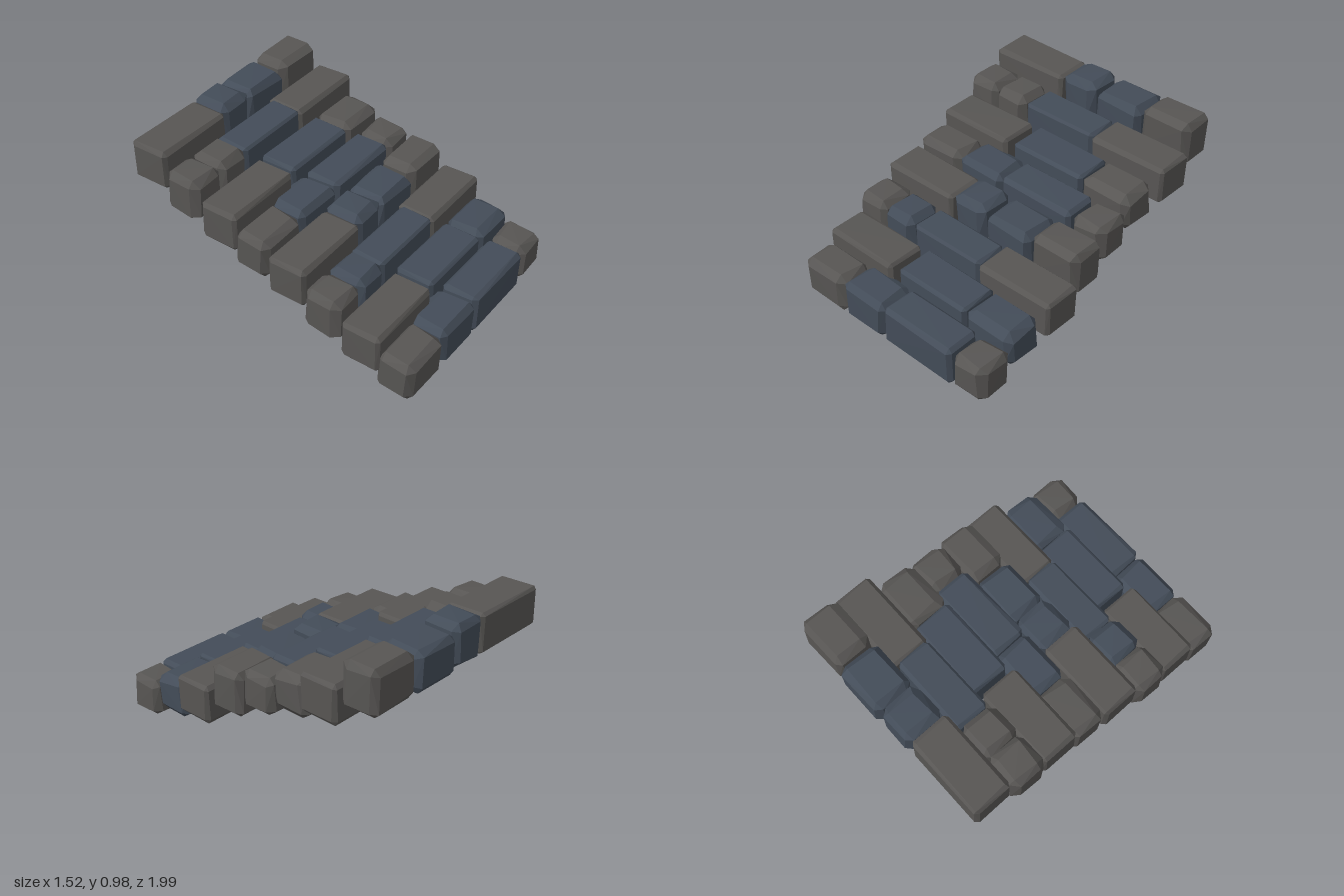
import * as THREE from 'three';
import { ConvexGeometry } from 'three/addons/geometries/ConvexGeometry.js';

const grey = new THREE.MeshStandardMaterial({ color: 0x575553, flatShading: true });
const slate = new THREE.MeshStandardMaterial({ color: 0x434c58, flatShading: true });

// One flight of four courses; each stone: [x0, x1, y0, y1, z0, z1, bevel, colour in lower flight, in upper flight]
const COURSES = [
  [
    [-0.74, -0.395, 0.00, 0.265, 0.755, 0.995, 0.04, grey, grey],
    [-0.40, -0.055, 0.01, 0.268, 0.735, 0.99, 0.04, slate, slate],
    [-0.06, 0.475, 0.01, 0.27, 0.745, 0.985, 0.025, slate, slate],
    [0.475, 0.725, 0.018, 0.272, 0.74, 0.985, 0.045, grey, grey],
  ],
  [
    [-0.735, -0.20, 0.105, 0.358, 0.515, 0.775, 0.022, grey, grey],
    [-0.17, 0.365, 0.105, 0.348, 0.495, 0.75, 0.022, slate, slate],
    [0.36, 0.71, 0.105, 0.355, 0.49, 0.755, 0.045, slate, grey],
  ],
  [
    [-0.765, -0.525, 0.205, 0.485, 0.27, 0.52, 0.042, grey, grey],
    [-0.53, -0.29, 0.21, 0.485, 0.27, 0.52, 0.042, slate, grey],
    [-0.295, 0.235, 0.205, 0.456, 0.265, 0.495, 0.022, slate, slate],
    [0.225, 0.76, 0.20, 0.445, 0.235, 0.495, 0.022, grey, grey],
  ],
  [
    [-0.74, -0.20, 0.325, 0.578, 0.015, 0.275, 0.022, grey, grey],
    [-0.205, 0.045, 0.32, 0.60, 0.00, 0.26, 0.042, slate, slate],
    [0.045, 0.39, 0.32, 0.575, -0.015, 0.25, 0.04, slate, slate],
    [0.385, 0.735, 0.315, 0.603, -0.01, 0.24, 0.042, grey, grey],
  ],
];

function seededRandom(seed) {
  let s = seed * 7919 + 17;
  return () => (s = (s * 16807) % 2147483647) / 2147483647;
}

// Chamfered block: each face is an inset, slightly irregular quad, joined by the hull
function stoneGeometry(size, bevel, seed) {
  const random = seededRandom(seed);
  random();
  const half = size.map((d) => d / 2);
  const points = [];
  for (let axis = 0; axis < 3; axis++) {
    for (const side of [-1, 1]) {
      for (const u of [-1, 1]) {
        for (const v of [-1, 1]) {
          const p = [0, 0, 0];
          const a = (axis + 1) % 3, b = (axis + 2) % 3;
          p[axis] = side * (half[axis] - bevel * 0.3 * random() * random());
          p[a] = u * (half[a] - bevel * (0.75 + 0.6 * random()));
          p[b] = v * (half[b] - bevel * (0.75 + 0.6 * random()));
          points.push(new THREE.Vector3(...p));
        }
      }
    }
  }
  return new ConvexGeometry(points);
}

export function createModel() {
  const stairs = new THREE.Group();
  stairs.name = 'stoneStairs';
  // The four-course pattern repeats once, higher and further back
  for (let flight = 0; flight < 2; flight++) {
    COURSES.forEach((course, row) => {
      const step = new THREE.Group();
      step.name = `step${flight * 4 + row + 1}`;
      step.position.set(0, flight * 0.38, flight * -0.985);
      course.forEach(([x0, x1, y0, y1, z0, z1, bevel, lower, upper], i) => {
        const geometry = stoneGeometry([x1 - x0, y1 - y0, z1 - z0], bevel, row * 10 + i + 1);
        const stone = new THREE.Mesh(geometry, flight ? upper : lower);
        stone.name = `stone${i + 1}`;
        stone.position.set((x0 + x1) / 2, (y0 + y1) / 2, (z0 + z1) / 2);
        step.add(stone);
      });
      stairs.add(step);
    });
  }
  return stairs;
}
